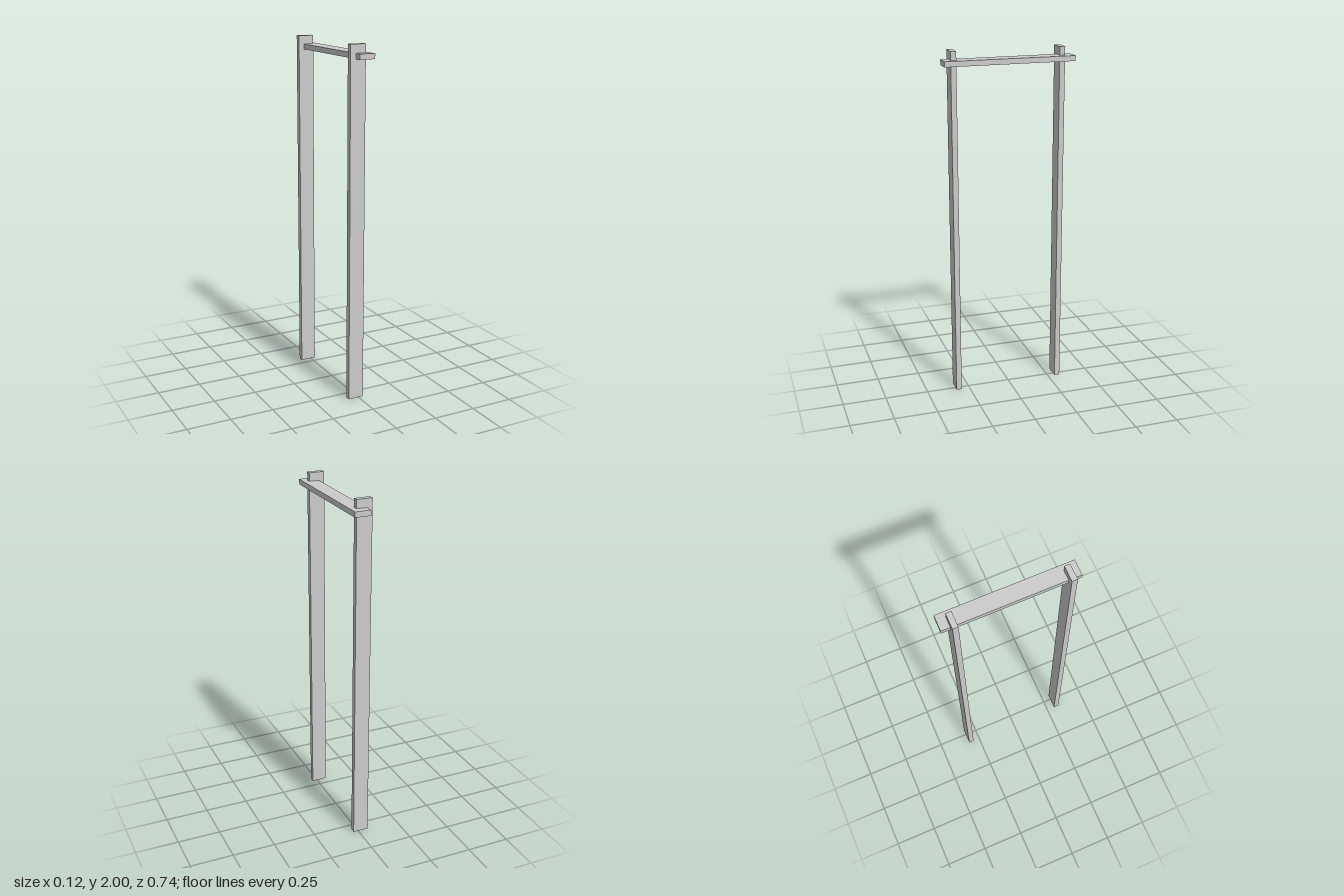
import * as THREE from 'three';

export function createModel() {
  const group = new THREE.Group();
  const material = new THREE.MeshStandardMaterial({ color: 0xcccccc, flatShading: true });

  const addBoard = (name, size, position) => {
    const mesh = new THREE.Mesh(new THREE.BoxGeometry(...size), material);
    mesh.name = name;
    mesh.position.set(...position);
    group.add(mesh);
  };

  // Two upright planks, standing slightly off centre along the crossbar
  addBoard('frontPost', [0.09, 2, 0.031], [-0.016, 1, 0.314]);
  addBoard('backPost', [0.09, 2, 0.031], [-0.016, 1, -0.306]);

  // Flat crossbar let into the posts and overhanging both of them
  addBoard('crossbar', [0.09, 0.03, 0.744], [0.016, 1.937, 0]);

  return group;
}
